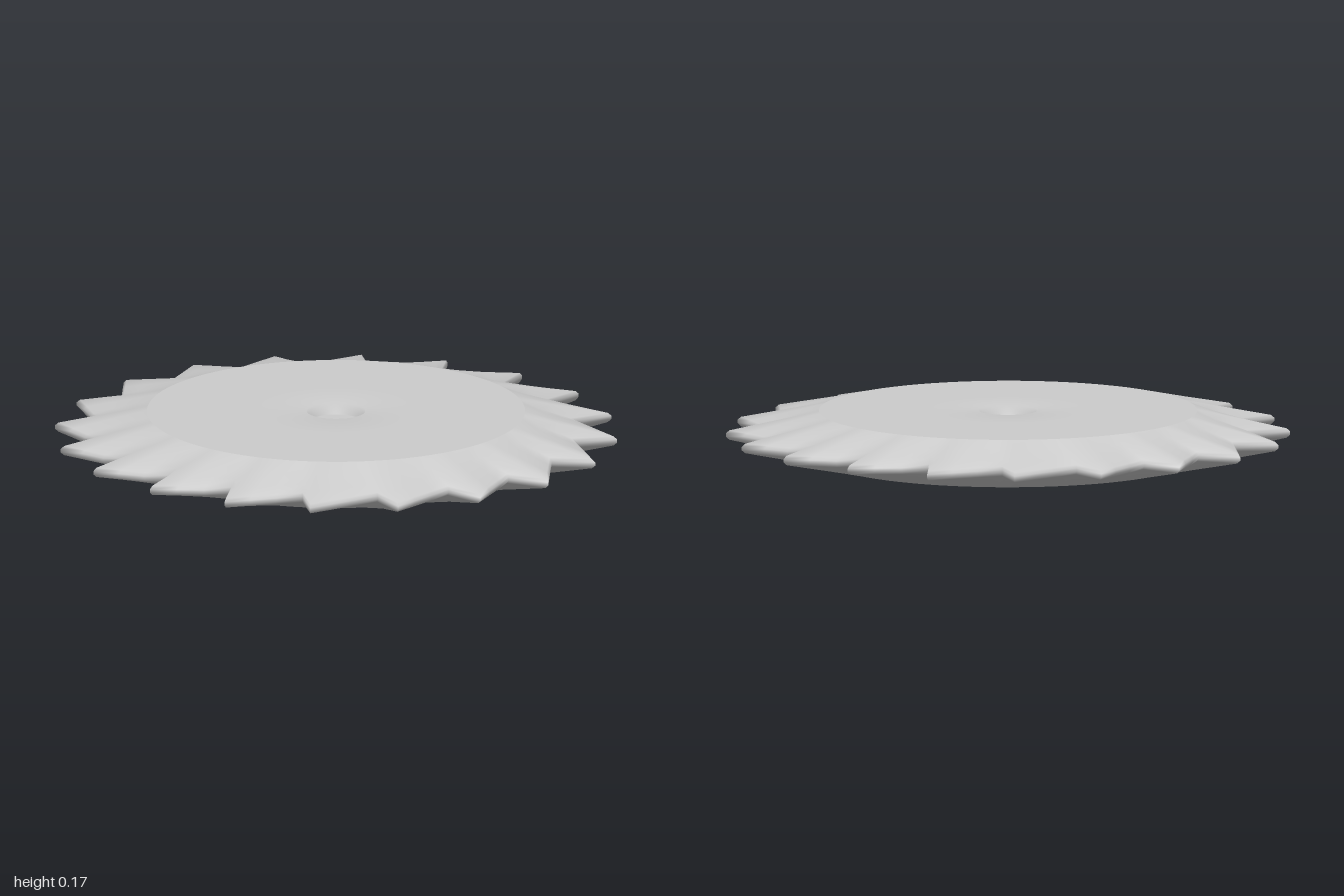
import * as THREE from 'three';
import { mergeVertices } from 'three/addons/utils/BufferGeometryUtils.js';

const TEETH = 20, STEPS = 4, COUNT = TEETH * STEPS;
const HALF = 0.085, DISC_R = 0.67;
const PITCH = (Math.PI * 2) / TEETH;

// Weld a geometry by position and give it smooth normals
function smooth(geometry) {
  geometry.deleteAttribute('uv');
  geometry.deleteAttribute('normal');
  const welded = mergeVertices(geometry, 1e-5);
  welded.computeVertexNormals();
  return welded;
}

const polar = (r, a) => new THREE.Vector2(r * Math.sin(a), -r * Math.cos(a));

// Toothed outline: a steep drop from each tip, then a long straight rise to the next
function outlinePoint(i) {
  const base = Math.floor(i / STEPS) * PITCH, k = i % STEPS;
  const valley = polar(0.85, base + THREE.MathUtils.degToRad(2.7));
  if (k === 0) return polar(1, base);
  return valley.lerp(polar(1, base + PITCH), (k - 1) / (STEPS - 1));
}

// Tapered ring of teeth, swept from the upper disc edge over the rim to the lower one
function teethGeometry() {
  const upper = [[0, HALF], [0.35, 0.060], [0.7, 0.0355], [0.96, 0.017], [1, 0.006]];
  const loops = [...upper, ...upper.slice().reverse().map(([s, h]) => [s, -h])];
  const positions = [], index = [];
  loops.forEach(([s, h]) => {
    for (let i = 0; i < COUNT; i++) {
      const p = polar(DISC_R, (i / COUNT) * Math.PI * 2).lerp(outlinePoint(i), s);
      positions.push(p.x, HALF + h, p.y);
    }
  });
  for (let j = 0; j < loops.length - 1; j++) {
    for (let i = 0; i < COUNT; i++) {
      const n = (i + 1) % COUNT;
      const a = j * COUNT + i, b = j * COUNT + n, c = b + COUNT, d = a + COUNT;
      index.push(a, b, c, a, c, d);
    }
  }
  const geometry = new THREE.BufferGeometry();
  geometry.setAttribute('position', new THREE.Float32BufferAttribute(positions, 3));
  geometry.setIndex(index);
  geometry.computeVertexNormals();
  return geometry;
}

// Flat disc face with a softly shaded round recess at its centre
function faceGeometry() {
  const profile = [[DISC_R, 0], [0.5, 0], [0.3, 0], [0.104, 0], [0.1, -0.04], [0.09, -0.04], [0, -0.04]];
  return smooth(new THREE.LatheGeometry(profile.map(([r, y]) => new THREE.Vector2(r, y)), COUNT));
}

export function createModel() {
  const steel = new THREE.MeshStandardMaterial({ color: 0xcccccc });
  steel.name = 'steel grey';
  const group = new THREE.Group();
  group.name = 'sawBlade';

  const add = (name, geometry) => {
    const mesh = new THREE.Mesh(geometry, steel);
    mesh.name = name;
    group.add(mesh);
    return mesh;
  };

  add('teeth', teethGeometry());
  const face = faceGeometry();
  add('upperFace', face).position.y = HALF * 2;
  add('lowerFace', face).rotation.x = Math.PI;
  return group;
}
